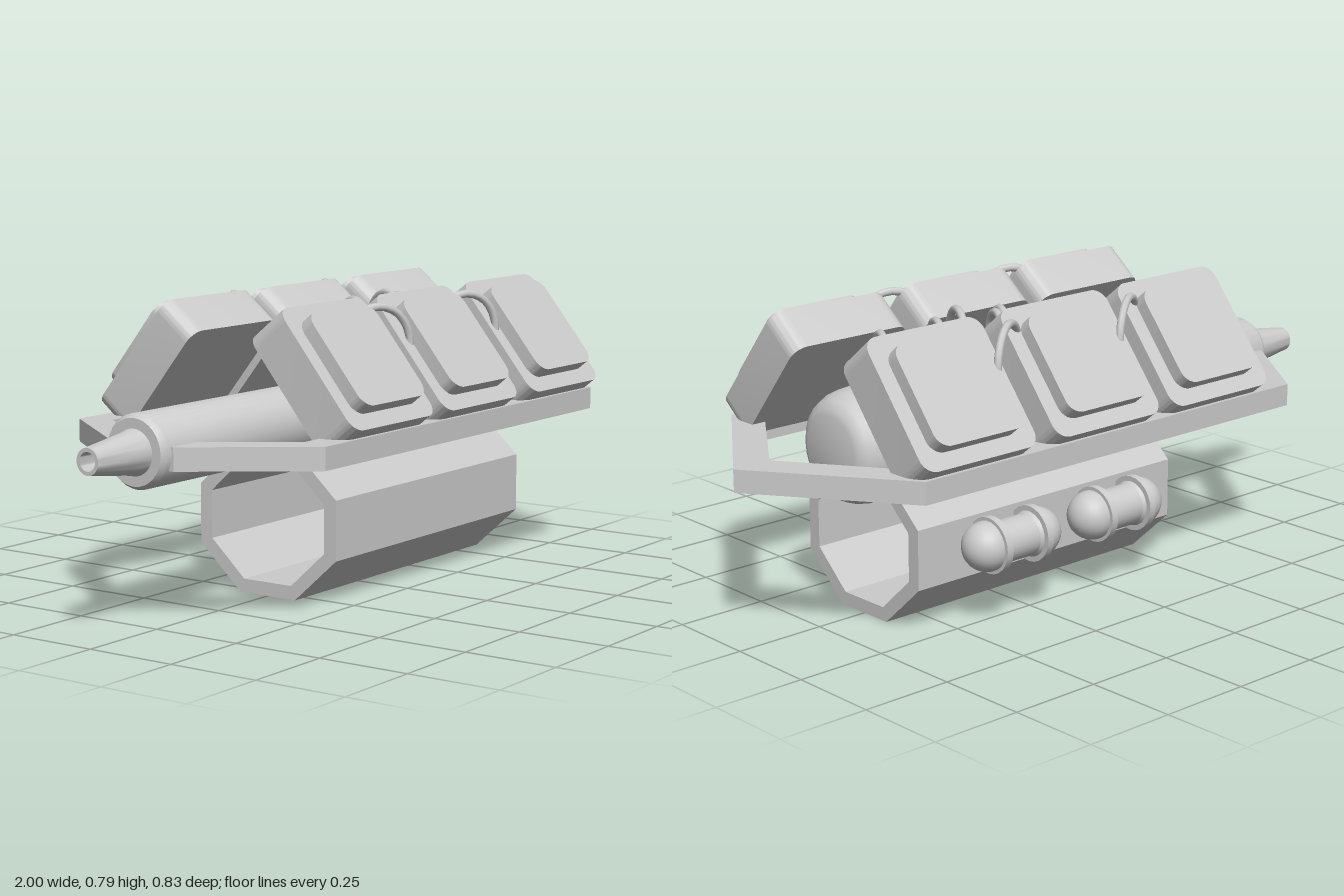
import * as THREE from 'three';
import { toCreasedNormals } from 'three/addons/utils/BufferGeometryUtils.js';

const material = new THREE.MeshStandardMaterial({ color: 0xcccccc, side: THREE.DoubleSide });
const AXIS_Y = 0.457;

function mesh(name, geometry, parent) {
  const m = new THREE.Mesh(geometry, material);
  m.name = name;
  parent.add(m);
  return m;
}

// Lathe around the x axis; profile entries are [x, radius]
function turned(profile, segments = 32) {
  const g = new THREE.LatheGeometry(profile.map(([x, r]) => new THREE.Vector2(r, x)), segments);
  return toCreasedNormals(g.rotateZ(-Math.PI / 2), 0.6);
}

const polygon = (pts) => pts.map(([a, b]) => new THREE.Vector2(a, b));

// Closed outline with a hole, extruded
function hollow(outer, inner, depth) {
  const shape = new THREE.Shape(polygon(outer));
  shape.holes.push(new THREE.Path(polygon(inner)));
  return new THREE.ExtrudeGeometry(shape, { depth, bevelEnabled: false });
}

// Square plate with rounded corners, its back at z = 0
function roundedPlate(size, radius, depth) {
  const h = size / 2, c = h - radius;
  const s = new THREE.Shape();
  s.absarc(c, c, radius, 0, Math.PI / 2);
  s.absarc(-c, c, radius, Math.PI / 2, Math.PI);
  s.absarc(-c, -c, radius, Math.PI, Math.PI * 1.5);
  s.absarc(c, -c, radius, Math.PI * 1.5, Math.PI * 2);
  s.closePath();
  const g = new THREE.ExtrudeGeometry(s, { depth, bevelEnabled: false, curveSegments: 6 });
  return toCreasedNormals(g, 0.6);
}

// Upright wire ring, its plane running along (dx, dz)
function wireLoop(name, parent, [x, y, z], radius, dx, dz) {
  const m = mesh(name, new THREE.TorusGeometry(radius, 0.011, 8, 28), parent);
  m.position.set(x, y, z);
  m.rotation.y = -Math.atan2(dz, dx);
}

// Octagon ring corners in (z, y)
function octagon(half, flat, low, high, sideLow, sideHigh) {
  return [[-flat, low], [flat, low], [half, sideLow], [half, sideHigh],
    [flat, high], [-flat, high], [-half, sideHigh], [-half, sideLow]];
}

export function createModel() {
  const model = new THREE.Group();
  model.name = 'wristDevice';

  // Barrel, hollow nozzle and wide rear chamber
  mesh('barrel', turned([[-0.83, 0], [-0.83, 0.085], [-0.815, 0.095], [0.1, 0.095]]), model)
    .position.y = AXIS_Y;
  mesh('nozzle', turned([[-0.9, 0], [-0.9, 0.022], [-1, 0.024], [-1, 0.034],
    [-0.86, 0.053], [-0.825, 0.06]].map(([x, r]) => [x, r])), model).position.y = AXIS_Y;
  mesh('chamber', turned([[0.04, 0], [0.04, 0.152], [0.61, 0.152], [0.65, 0.145],
    [0.68, 0.13], [0.695, 0.11], [0.7, 0.095], [0.7, 0]], 24), model).position.y = AXIS_Y;

  // Flat frame around the barrel
  const frame = hollow(
    [[-0.8, -0.1], [-0.58, -0.395], [0.72, -0.395], [1, 0], [0.72, 0.395], [-0.58, 0.395], [-0.8, 0.1]],
    [[-0.71, -0.09], [-0.545, -0.31], [0.675, -0.31], [0.89, 0], [0.675, 0.31], [-0.545, 0.31], [-0.71, 0.09]],
    0.06);
  mesh('frame', frame.rotateX(-Math.PI / 2).translate(0, 0.415, 0), model);

  // Octagonal sleeve below
  const sleeve = hollow(octagon(0.222, 0.09, 0, 0.4, 0.12, 0.28),
    octagon(0.184, 0.077, 0.037, 0.363, 0.135, 0.265), 0.895);
  mesh('sleeve', sleeve.rotateY(Math.PI / 2).translate(-0.292, 0, 0), model);

  // Three tilted pods with raised lids on each side
  const podShape = roundedPlate(0.372, 0.04, 0.12).translate(0, 0, -0.12);
  const lidShape = roundedPlate(0.285, 0.04, 0.037);
  for (const side of [1, -1]) {
    const row = new THREE.Group();
    row.name = side > 0 ? 'frontPods' : 'backPods';
    row.rotation.y = side > 0 ? 0 : Math.PI;
    model.add(row);
    for (const x of [-0.3, 0.115, 0.55]) {
      const pod = new THREE.Group();
      pod.name = 'pod';
      pod.position.set(x * side, 0.645, 0.2985);
      pod.rotation.x = -0.68;
      mesh('podBody', podShape, pod);
      mesh('podLid', lidShape, pod);
      row.add(pod);
    }
  }

  // Wires linking neighbouring pods
  for (const shift of [0, 0.425]) {
    wireLoop('podWire', model, [-0.125 + shift, 0.668, 0.237], 0.1, 0.16, 0.065);
    wireLoop('podWire', model, [-0.1 + shift, 0.672, -0.255], 0.1, 0.16, -0.1);
  }

  // Wire loops standing on the chamber: x, z, radius, top
  for (const [x, z, r, top] of [[0.095, 0.03, 0.078, 0.735], [0.188, -0.057, 0.08, 0.755],
    [0.283, -0.012, 0.102, 0.77], [0.365, -0.025, 0.09, 0.755], [0.505, 0.03, 0.078, 0.735]]) {
    wireLoop('chamberWire', model, [x, top - r - 0.011, z], r, 0.075, -0.15);
  }

  // Two round-ended canisters on the back of the sleeve
  for (const x of [0.34, -0.03]) {
    const canister = new THREE.Group();
    canister.name = 'canister';
    canister.position.set(x, 0.213, -0.28);
    model.add(canister);
    mesh('canisterBody', turned([[-0.085, 0.056], [0.085, 0.056]], 24), canister);
    for (const s of [-1, 1]) {
      mesh('canisterEnd', new THREE.SphereGeometry(0.066, 24, 16), canister).position.x = s * 0.085;
      mesh('canisterCollar', turned([[-0.01, 0], [-0.01, 0.075], [0.01, 0.075], [0.01, 0]], 24), canister)
        .position.x = s * 0.07;
    }
  }
  return model;
}
